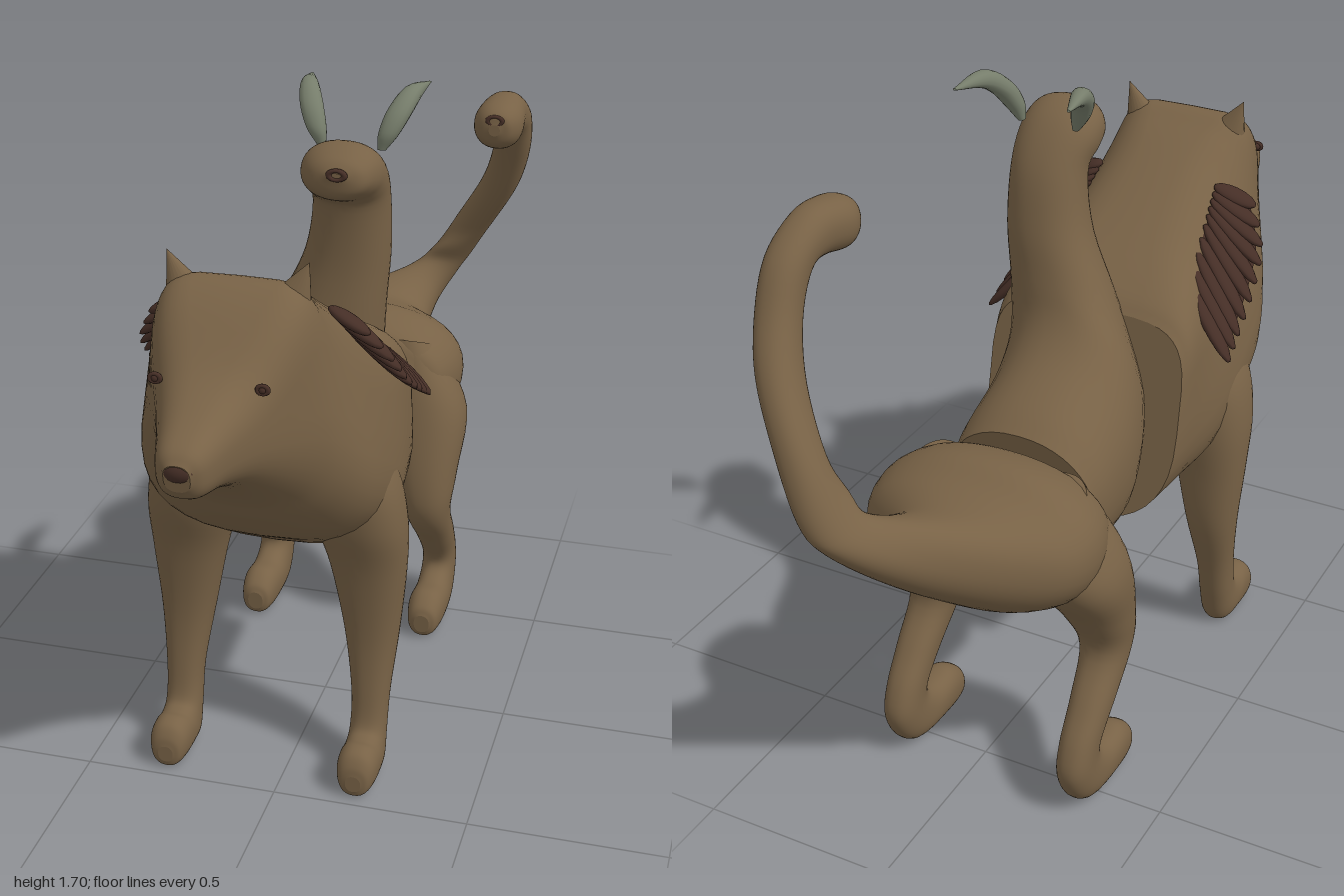
import * as THREE from 'three';

const fur = new THREE.MeshStandardMaterial({ color: 0x786246 });
fur.name = 'brown fur';
const dark = new THREE.MeshStandardMaterial({ color: 0x452e26, side: THREE.DoubleSide });
dark.name = 'dark brown';
const horn = new THREE.MeshStandardMaterial({ color: 0x767d6b });
horn.name = 'grey green horn';

const CX = -0.05; // centre line of the body

// Smooth closed skin through sections [x, zA, yA, zB, yB, halfWidth, taper, squareness of the A half].
// A and B are opposite points of the section; the width runs along x.
function loft(rows, { power = 2.2, sides = 40, steps = 5 } = {}) {
  const curve = (f) => new THREE.CatmullRomCurve3(rows.map(f), false, 'catmullrom', 0.5);
  const a = curve((r) => new THREE.Vector3(r[0], r[2], r[1]));
  const b = curve((r) => new THREE.Vector3(r[0], r[4], r[3]));
  const w = curve((r) => new THREE.Vector3(r[5], r[6] ?? 0, r[7] ?? power));
  const rings = (rows.length - 1) * steps;
  const pos = [], index = [];
  for (let i = 0; i <= rings; i++) {
    const t = i / rings;
    const A = a.getPoint(t), B = b.getPoint(t), W = w.getPoint(t);
    const mid = A.clone().add(B).multiplyScalar(0.5);
    const half = A.clone().sub(B).multiplyScalar(0.5);
    for (let j = 0; j < sides; j++) {
      const ang = (j / sides) * Math.PI * 2;
      const c = Math.cos(ang), s = Math.sin(ang);
      const e = 2 / (c > 0 ? W.z : power);
      const u = Math.sign(c) * Math.abs(c) ** e, v = Math.sign(s) * Math.abs(s) ** e;
      pos.push(mid.x + v * W.x * (1 - W.y * u), Math.max(0, mid.y + half.y * u), mid.z + half.z * u);
    }
  }
  for (let i = 0; i < rings; i++) {
    for (let j = 0; j < sides; j++) {
      const k = (j + 1) % sides, p = i * sides, q = p + sides;
      index.push(p + j, p + k, q + j, p + k, q + k, q + j);
    }
  }
  // End caps with their own rim, so that the edge stays sharp
  for (const ring of [0, rings]) {
    const r = rows[ring ? rows.length - 1 : 0], rim = pos.length / 3, c = rim + sides;
    pos.push(...pos.slice(ring * sides * 3, (ring + 1) * sides * 3));
    pos.push(r[0], (r[2] + r[4]) / 2, (r[1] + r[3]) / 2);
    for (let j = 0; j < sides; j++) {
      const p = rim + j, q = rim + ((j + 1) % sides);
      if (ring) index.push(c, p, q); else index.push(c, q, p);
    }
  }
  const g = new THREE.BufferGeometry();
  g.setAttribute('position', new THREE.Float32BufferAttribute(pos, 3));
  g.setIndex(index);
  g.computeVertexNormals();
  return g;
}

export function createModel() {
  const model = new THREE.Group();
  model.name = 'threePartBeast';
  const add = (name, geo, mat, x = 0, y = 0, z = 0) => {
    const m = new THREE.Mesh(geo, mat);
    m.name = name;
    m.position.set(x, y, z);
    model.add(m);
    return m;
  };

  // Head, chest and front body, cut off by a sloping flat back
  add('headAndChest', loft([
    [CX, 1.0, 1.165, 0.99, 1.1, 0.03],
    [CX, 0.97, 1.195, 0.96, 1.07, 0.058],
    [CX, 0.88, 1.232, 0.87, 1.05, 0.088, 0, 2.5],
    [CX, 0.77, 1.285, 0.76, 1.0, 0.13, 0.02, 3],
    [CX, 0.65, 1.385, 0.62, 0.89, 0.19, 0.1, 5],
    [CX, 0.57, 1.422, 0.55, 0.81, 0.228, 0.22, 6],
    [CX, 0.5, 1.4, 0.47, 0.73, 0.255, 0.3, 4.5],
    [CX, 0.4, 1.35, 0.38, 0.67, 0.275, 0.3, 3.3],
    [CX, 0.2, 1.225, 0.19, 0.565, 0.29, 0.17, 3.3],
    [CX, 0.05, 1.13, 0.0, 0.55, 0.285, 0.03, 4.5],
    [CX, 0.0, 1.085, -0.11, 0.54, 0.27, 0, 4.5],
  ], { power: 2.6 }), fur);

  // Middle body rising into the horned neck
  add('middleAndNeck', loft([
    [-0.06, -0.37, 0.56, -0.41, 0.93, 0.2],
    [-0.06, -0.28, 0.54, -0.35, 0.975, 0.21],
    [-0.06, -0.12, 0.55, -0.23, 1.05, 0.205],
    [-0.04, 0.05, 0.75, -0.165, 1.12, 0.18],
    [0.01, 0.09, 1.05, -0.135, 1.2, 0.14],
    [0.055, 0.08, 1.27, -0.11, 1.32, 0.108],
    [0.07, 0.09, 1.42, -0.07, 1.46, 0.096],
    [0.065, 0.11, 1.455, 0.0, 1.56, 0.103],
    [0.065, 0.14, 1.47, 0.08, 1.6, 0.096],
    [0.07, 0.17, 1.49, 0.15, 1.58, 0.066],
    [0.07, 0.18, 1.53, 0.18, 1.55, 0.02],
  ]), fur);

  // Haunches flowing into the curled tail
  add('haunchAndTail', loft([
    [CX, -0.405, 0.85, -0.4, 0.66, 0.22],
    [CX, -0.44, 0.905, -0.43, 0.6, 0.27],
    [CX, -0.54, 0.935, -0.54, 0.56, 0.3],
    [CX, -0.63, 0.91, -0.66, 0.6, 0.275],
    [-0.06, -0.72, 0.9, -0.76, 0.67, 0.175],
    [0.01, -0.82, 0.92, -0.88, 0.77, 0.1],
    [0.09, -0.875, 0.95, -0.98, 0.88, 0.066],
    [0.14, -0.87, 1.0, -1.0, 0.95, 0.057],
    [0.205, -0.86, 1.07, -0.97, 1.09, 0.056],
    [0.285, -0.8, 1.2, -0.91, 1.24, 0.054],
    [0.325, -0.74, 1.32, -0.84, 1.36, 0.052],
    [0.335, -0.68, 1.41, -0.77, 1.47, 0.053],
    [0.33, -0.63, 1.42, -0.66, 1.54, 0.056],
    [0.325, -0.56, 1.41, -0.56, 1.54, 0.065],
    [0.325, -0.515, 1.43, -0.51, 1.52, 0.045],
    [0.325, -0.5, 1.46, -0.5, 1.49, 0.015],
  ]), fur);

  // Leg sections, x measured out from the centre line
  const frontLeg = [
    [0.16, 0.14, 0.91, 0.39, 0.96, 0.08],
    [0.2, 0.155, 0.8, 0.4, 0.84, 0.108],
    [0.218, 0.165, 0.68, 0.385, 0.71, 0.115],
    [0.235, 0.18, 0.55, 0.345, 0.57, 0.096],
    [0.245, 0.193, 0.38, 0.325, 0.38, 0.07],
    [0.25, 0.235, 0.22, 0.337, 0.22, 0.05],
    [0.25, 0.26, 0.1, 0.355, 0.135, 0.047],
    [0.25, 0.29, 0.01, 0.39, 0.122, 0.05],
    [0.25, 0.36, 0, 0.42, 0.125, 0.053],
    [0.25, 0.43, 0, 0.45, 0.115, 0.05],
    [0.25, 0.465, 0.003, 0.468, 0.09, 0.038],
    [0.25, 0.474, 0.02, 0.474, 0.065, 0.02],
  ];
  const hindLeg = [
    [0.16, -0.64, 0.78, -0.43, 0.88, 0.08],
    [0.215, -0.6, 0.64, -0.37, 0.7, 0.112],
    [0.235, -0.51, 0.51, -0.32, 0.49, 0.085],
    [0.245, -0.465, 0.4, -0.33, 0.37, 0.062],
    [0.25, -0.54, 0.29, -0.42, 0.26, 0.052],
    [0.25, -0.605, 0.2, -0.485, 0.18, 0.047],
    [0.25, -0.625, 0.11, -0.485, 0.14, 0.047],
    [0.25, -0.56, 0.015, -0.44, 0.122, 0.05],
    [0.25, -0.42, 0, -0.375, 0.125, 0.053],
    [0.25, -0.335, 0.003, -0.33, 0.1, 0.042],
    [0.25, -0.318, 0.02, -0.316, 0.075, 0.022],
  ];

  for (const s of [-1, 1]) {
    const side = s > 0 ? 'left' : 'right';
    const place = (rows) => rows.map(([x, ...r]) => [CX + s * x, ...r]);
    add(side + 'FrontLeg', loft(place(frontLeg), { power: 2.3 }), fur);
    add(side + 'HindLeg', loft(place(hindLeg), { power: 2.3 }), fur);

    // Pointed ear
    const ear = add(side + 'Ear', new THREE.ConeGeometry(0.06, 0.13, 20), fur, CX + s * 0.14, 1.41, 0.555);
    ear.scale.z = 0.7;
    ear.rotation.z = -s * 0.4;

    // Eye
    const eye = add(side + 'Eye', new THREE.TorusGeometry(0.012, 0.006, 8, 18), dark, CX + s * 0.122, 1.255, 0.775);
    eye.scale.y = 0.8;
    add(side + 'Pupil', new THREE.SphereGeometry(0.011, 12, 8), dark, CX + s * 0.122, 1.255, 0.772);

    // Folded wing: a thin sheet covered by overlapping feathers
    const wing = new THREE.Group();
    wing.name = side + 'Wing';
    const line = (pts) => new THREE.CatmullRomCurve3(pts.map(([x, y, z]) => new THREE.Vector3(CX + s * x, y, z)));
    const rootLine = line([[0.17, 1.295, 0.385], [0.18, 1.235, 0.305], [0.2, 1.13, 0.155]]);
    const tipLine = line([[0.26, 1.255, 0.41], [0.31, 1.165, 0.35], [0.325, 1.085, 0.27],
      [0.333, 1.02, 0.17], [0.34, 0.975, 0.09]]);
    const sheet = new THREE.PlaneGeometry(1, 1, 12, 2);
    const p = sheet.attributes.position;
    for (let i = 0; i < p.count; i++) {
      const t = p.getX(i) + 0.5;
      const v = rootLine.getPoint(t).lerp(tipLine.getPoint(t), 0.46 - p.getY(i) * 0.92);
      p.setXYZ(i, v.x, v.y, v.z);
    }
    sheet.computeVertexNormals();
    const backing = new THREE.Mesh(sheet, dark);
    backing.name = 'wingSheet';
    wing.add(backing);
    for (let i = 0; i < 10; i++) {
      const root = rootLine.getPoint(i / 9), tip = tipLine.getPoint(i / 9);
      const f = new THREE.Mesh(new THREE.SphereGeometry(1, 14, 10), dark);
      f.name = 'feather';
      f.up.set(s * 0.8, 0.6, 0);
      f.position.copy(root).lerp(tip, 0.5);
      f.lookAt(tip);
      f.scale.set(0.029, 0.016, root.distanceTo(tip) / 2 + 0.01);
      wing.add(f);
    }
    model.add(wing);

    // Swept-back horn
    const hx = (d) => 0.065 + s * d;
    add(side + 'Horn', loft([
      [hx(0.075), 0.008, 1.56, -0.012, 1.555, 0.01],
      [hx(0.09), 0.012, 1.605, -0.03, 1.59, 0.025],
      [hx(0.11), -0.018, 1.66, -0.06, 1.632, 0.03],
      [hx(0.13), -0.085, 1.7, -0.107, 1.662, 0.023],
      [hx(0.15), -0.188, 1.685, -0.19, 1.68, 0.004],
    ], { sides: 16 }), horn);
  }

  // Nose, and ringed snouts on the neck and tail ends
  add('nose', new THREE.SphereGeometry(1, 20, 12), dark, CX, 1.147, 0.975).scale.set(0.042, 0.03, 0.03);
  for (const [name, x, y, z] of [['neckSnout', 0.075, 1.545, 0.178], ['tailSnout', 0.325, 1.5, -0.508]]) {
    const ring = add(name, new THREE.TorusGeometry(0.019, 0.008, 10, 24), dark, x, y, z);
    ring.scale.y = 0.6;
  }
  return model;
}
